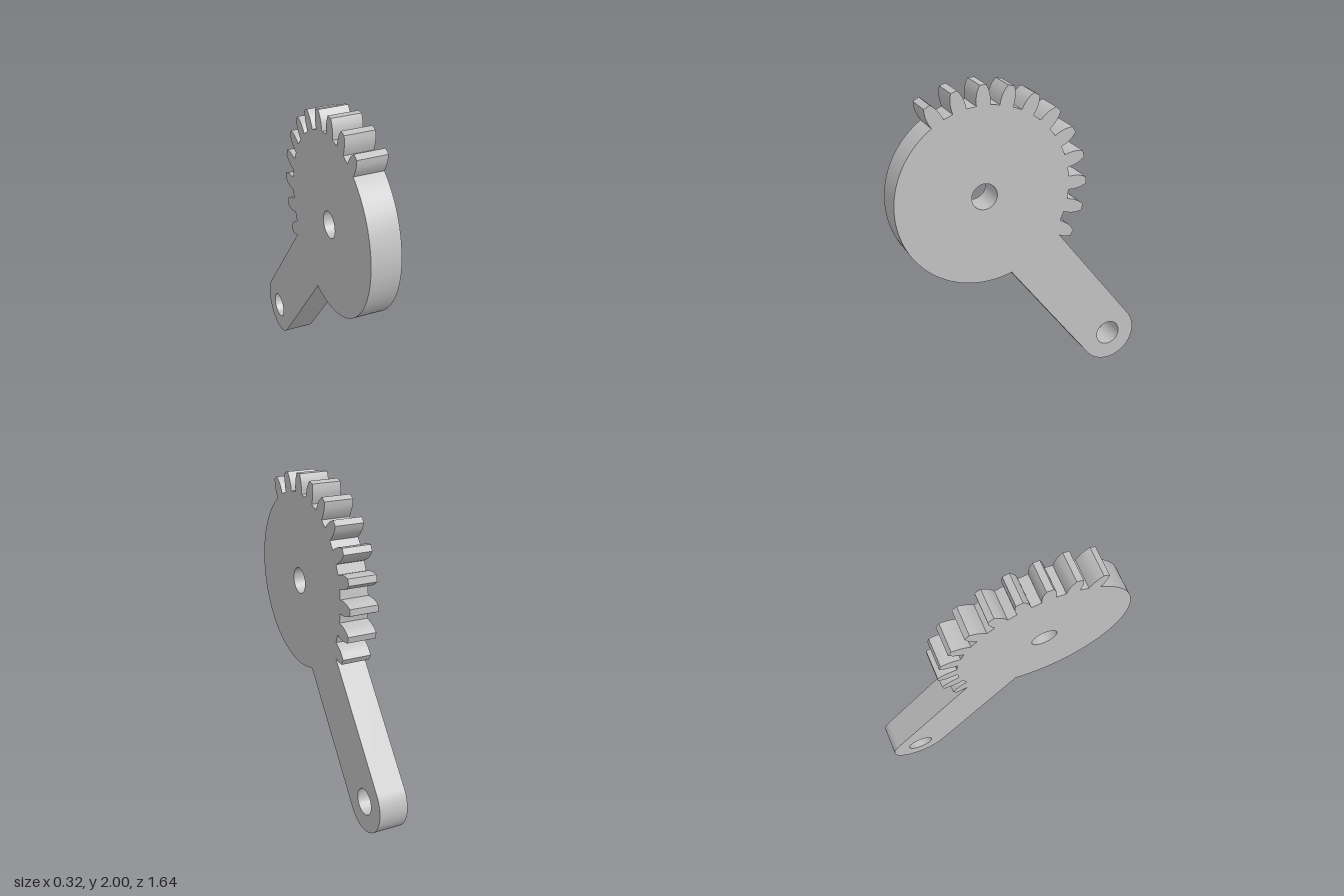
import * as THREE from 'three';
import { toCreasedNormals } from 'three/addons/utils/BufferGeometryUtils.js';

const DEG = Math.PI / 180;
const HUB = { x: -0.256, y: 1.32 };      // centre of the toothed disc
const PIVOT = { x: 0.624, y: 0.19 };     // centre of the arm's rounded end
const ROOT = 0.56, ARM = 0.19, HOLE = 0.082, THICK = 0.186;

// Tooth flank: [radius, half width]
const FLANK = [[0.56, 0.043], [0.585, 0.0445], [0.606, 0.0435], [0.628, 0.041],
  [0.645, 0.036], [0.663, 0.029], [0.68, 0.021]];

function hole(c) {
  const path = new THREE.Path();
  path.absarc(c.x, c.y, HOLE, 0, Math.PI * 2, true);
  return path;
}

function sectorShape() {
  const shape = new THREE.Shape();
  const polar = (r, a) => shape.lineTo(HUB.x + r * Math.cos(a), HUB.y + r * Math.sin(a));
  const armAngle = Math.atan2(PIVOT.y - HUB.y, PIVOT.x - HUB.x);
  const armSpread = Math.asin(ARM / ROOT);

  // Rounded end of the arm
  shape.absarc(PIVOT.x, PIVOT.y, ARM, armAngle - Math.PI / 2, armAngle + Math.PI / 2, false);

  // Eleven teeth; the first one grows out of the arm's edge
  for (let deg = -30; deg <= 120; deg += 15) {
    const mid = deg * DEG;
    const rising = deg === -30 ? FLANK.slice(2) : FLANK;
    for (const [r, w] of rising) polar(r, mid - w / r);
    for (const [r, w] of [...FLANK].reverse()) polar(r, mid + w / r);
  }

  // Plain round back of the disc, down to the arm
  const start = 120 * DEG + FLANK[0][1] / ROOT;
  const end = armAngle - armSpread + Math.PI * 2;
  for (let i = 1; i <= 64; i++) polar(ROOT, start + (end - start) * i / 64);

  shape.holes.push(hole(HUB), hole(PIVOT));
  return shape;
}

export function createModel() {
  const group = new THREE.Group();
  group.name = 'sectorGearLever';
  const greyMetal = new THREE.MeshStandardMaterial({ color: 0xc0c0c0 });
  greyMetal.name = 'grey metal';

  // One flat plate: disc, teeth and arm, standing on edge and slightly turned
  const extruded = new THREE.ExtrudeGeometry(sectorShape(), {
    depth: THICK, bevelEnabled: false, curveSegments: 32,
  });
  extruded.translate(0, 0, -THICK / 2);
  extruded.rotateY(Math.PI / 2);
  const plate = new THREE.Mesh(toCreasedNormals(extruded, 25 * DEG), greyMetal);
  plate.name = 'toothedSectorWithArm';
  plate.rotation.y = 0.08;
  group.add(plate);
  return group;
}
